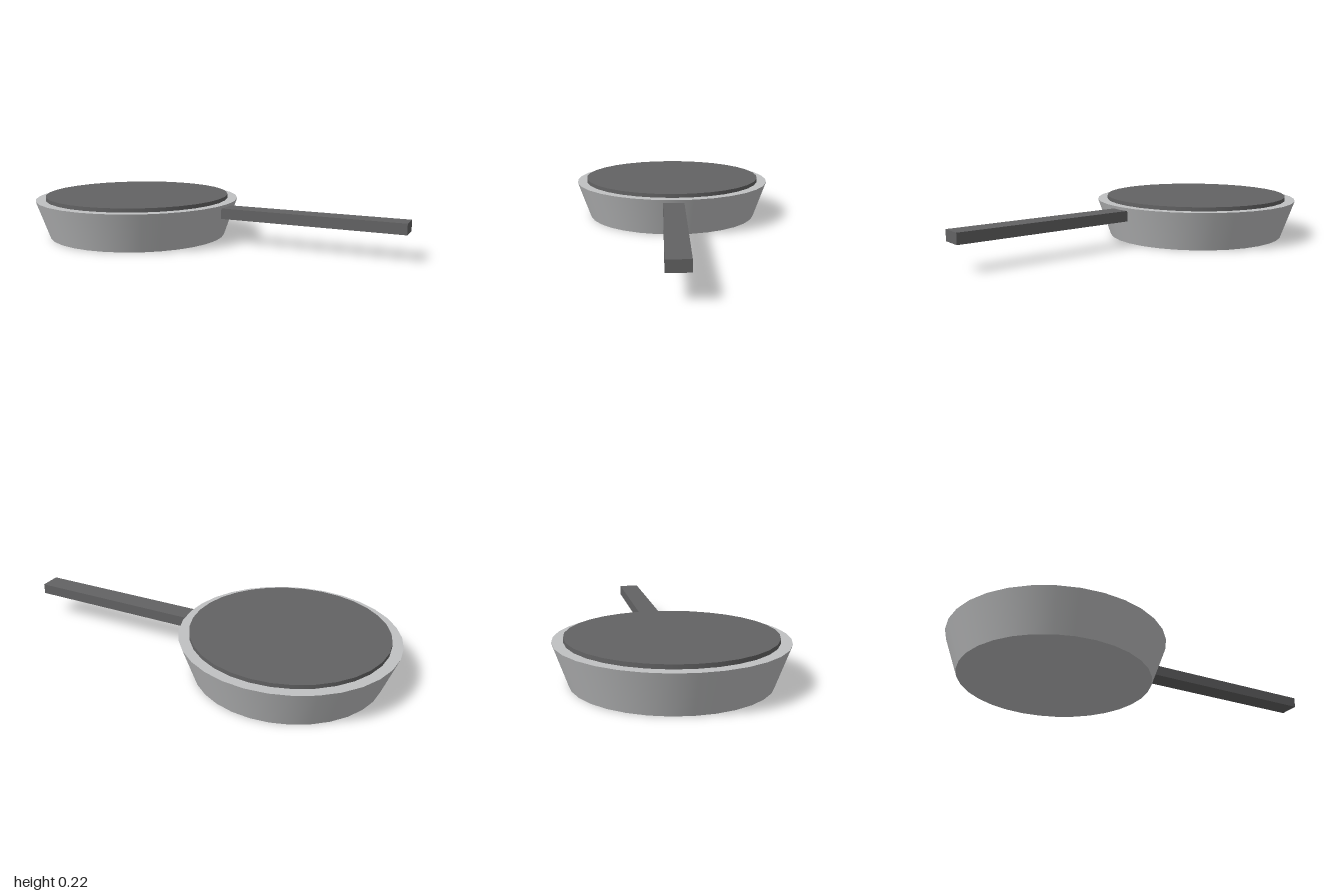
import * as THREE from 'three';

const PAN_X = -0.457;
const SIDES = 32;

export function createModel() {
  const model = new THREE.Group();
  model.name = 'fryingPan';

  const lightMetal = new THREE.MeshStandardMaterial({ color: 0xc0c1c2 });
  lightMetal.name = 'lightMetal';
  const darkGrey = new THREE.MeshStandardMaterial({ color: 0x636364 });
  darkGrey.name = 'darkGrey';

  const add = (name, geometry, material, x, y, z = 0) => {
    const mesh = new THREE.Mesh(geometry, material);
    mesh.name = name;
    mesh.position.set(x, y, z);
    model.add(mesh);
  };

  // Flared pan body, wider at the rim
  add('panBody', new THREE.CylinderGeometry(0.543, 0.472, 0.2, SIDES), lightMetal, PAN_X, 0.1);

  // Cooking surface: a thin disc standing just above the rim
  add('cookingSurface', new THREE.CylinderGeometry(0.49, 0.49, 0.03, SIDES), darkGrey, PAN_X, 0.205);

  // Straight handle reaching out to the left
  add('handle', new THREE.BoxGeometry(0.93, 0.054, 0.108), darkGrey, 0.535, 0.157);

  return model;
}
